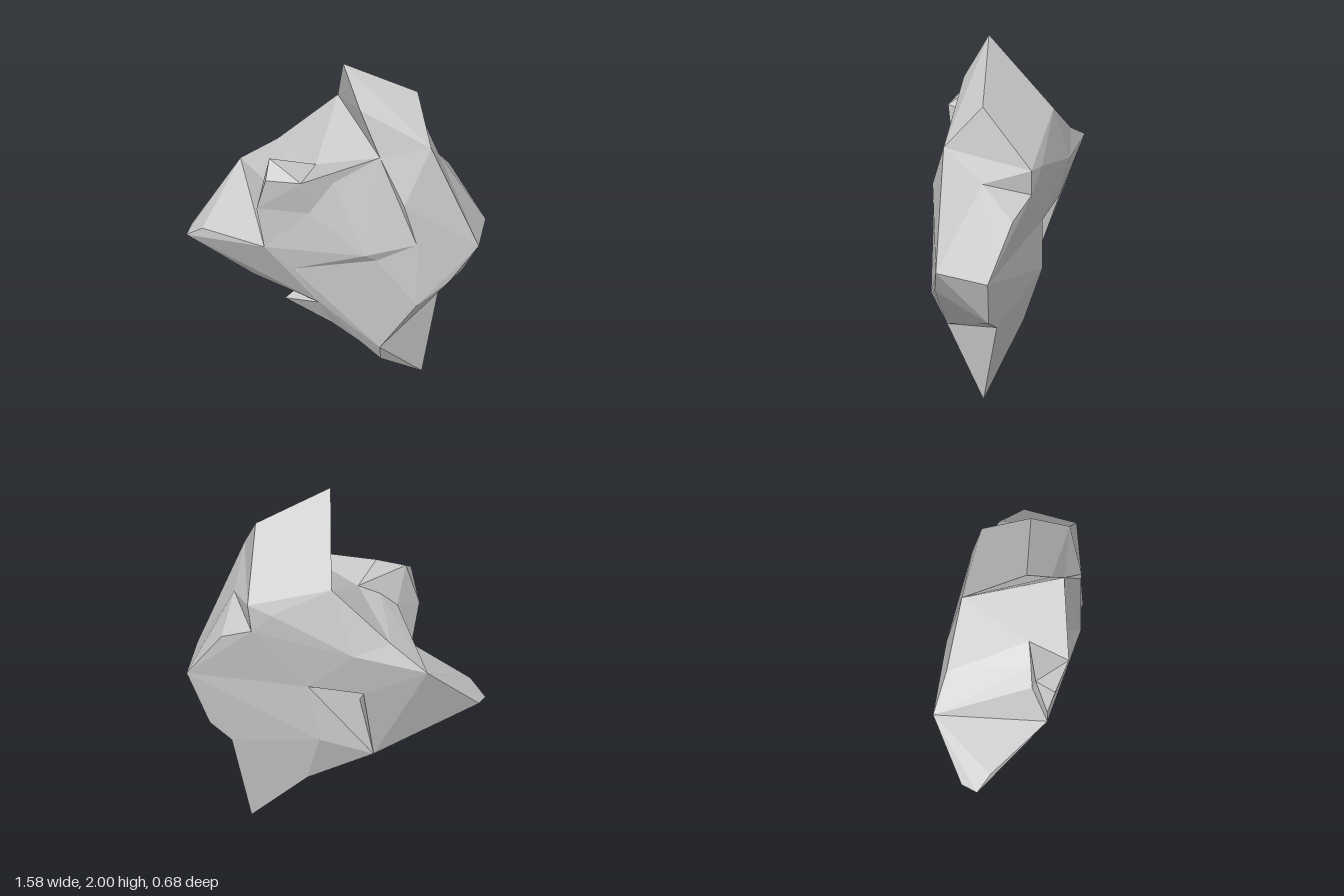
import * as THREE from 'three';
import { ConvexGeometry } from 'three/addons/geometries/ConvexGeometry.js';

const material = new THREE.MeshStandardMaterial({ color: 0xcccccc, flatShading: true });

// One faceted chunk of stone, wrapped around its corner points
function chunk(name, ...corners) {
  const geometry = new ConvexGeometry(corners.map((c) => new THREE.Vector3(...c)));
  const mesh = new THREE.Mesh(geometry, material);
  mesh.name = name;
  return mesh;
}

// Corners where neighbouring chunks meet: top
const crestFront = [0.26, 1.51, 0.2];
const crestSide = [0.53, 1.56, 0.16];
const crestBack = [0.44, 1.44, -0.3];
const crestHeel = [-0.01, 1.57, -0.29];
const rearTop = [0.31, 1.4, -0.32];
const notch = [0.42, 1.28, -0.295];
const dent = [0.55, 1.38, -0.06];
const saddle = [-0.09, 1.38, 0.1];
const brow = [-0.15, 1.41, 0.335];
const browInner = [0, 1.42, 0.265];
const shoulderBack = [-0.29, 1.24, 0.17];
const shoulderDip = [-0.2, 1.32, 0.15];
const rearLeft = [-0.33, 1.27, -0.29];
const rearMid = [-0.14, 1.2, -0.34];

// Middle
const chest = [-0.11, 1.19, 0.285];
const cheek = [-0.39, 1.2, 0.28];
const armRoot = [-0.35, 0.95, 0.27];
const armBack = [-0.53, 1.12, -0.31];
const armPit = [-0.18, 0.94, -0.275];
const rearWaist = [0.12, 0.95, -0.265];
const waist = [-0.2, 0.81, 0.255];
const bump = [0.25, 0.9, 0.27];
const crease = [0.46, 0.99, 0.24];
const flankFront = [0.78, 0.93, 0.13];
const flankBack = [0.79, 0.91, -0.16];

// Bottom
const belly = [-0.06, 0.58, 0.22];
const underArm = [-0.21, 0.49, -0.13];
const keel = [0, 0.4, 0.14];
const rearLow = [0.06, 0.62, -0.25];
const rearFoot = [0.14, 0.335, -0.17];
const hip = [0.46, 0.61, 0.25];
const chin = [0.26, 0.31, 0.22];
const chinLeft = [0.15, 0.31, 0.17];
const spikeBack = [0.55, 0.51, -0.14];

export function createModel() {
  const rock = new THREE.Group();
  rock.name = 'rock';
  rock.add(
    // Tall slanted fin at the top
    chunk('crest', [0.05, 2, 0.05], [0.44, 1.79, -0.03], [0.15, 1.78, 0.16],
      crestFront, crestSide, crestBack, crestHeel, rearTop),

    // Saddle that joins the fin to the body
    chunk('neck', crestHeel, crestFront, crestSide, crestBack, rearTop, notch, dent, saddle,
      rearLeft, rearMid),

    // Main mass with the bulging front
    chunk('upperBody', crestFront, saddle, browInner, chest, shoulderDip, shoulderBack, rearLeft,
      armBack, armRoot, waist, [0.19, 0.95, 0.31], bump, crease, rearMid, rearTop, notch, armPit,
      rearWaist),

    // Narrowing mass below the waist
    chunk('lowerBody', bump, waist, belly, hip, chin, chinLeft, keel, underArm, rearWaist,
      rearLow, rearFoot),

    // Overhanging ledge and pointed lump beside the crest
    chunk('brow', brow, browInner, crestFront, saddle, chest),
    chunk('shoulder', [-0.33, 1.47, 0.2], [-0.34, 1.4, 0.31], cheek, brow, saddle, shoulderBack,
      shoulderDip, chest),
    chunk('cheek', cheek, armRoot, chest, shoulderBack),

    // Long wedge reaching out to the side
    chunk('sideWedge', [-0.79, 0.82, 0], [-0.77, 0.83, -0.09], [-0.7, 0.9, 0.05],
      [-0.43, 0.62, 0.04], armBack, armRoot, waist, belly, underArm, armPit),

    // Small lip under the wedge
    chunk('lip', [-0.25, 0.55, 0.15], belly, keel, [-0.12, 0.6, 0]),

    // Opposite flank, folded along the dent
    chunk('flankFront', crestFront, crestSide, dent, [0.395, 1.245, 0.26], crease, flankFront,
      notch, rearWaist),
    chunk('flankBack', dent, [0.59, 1.2, -0.24], notch, crease, flankFront, flankBack, rearWaist),

    // Lower corner below the flank
    chunk('hip', crease, bump, hip, [0.63, 0.73, 0.18], flankFront, flankBack, [0.67, 0.6, -0.13],
      spikeBack, chin, rearWaist, rearLow, rearFoot),

    // Spike the rock stands on
    chunk('bottomSpike', [0.46, 0, -0.04], [0.26, 0.2, 0.16], chin, chinLeft, spikeBack, rearFoot),
  );
  return rock;
}
